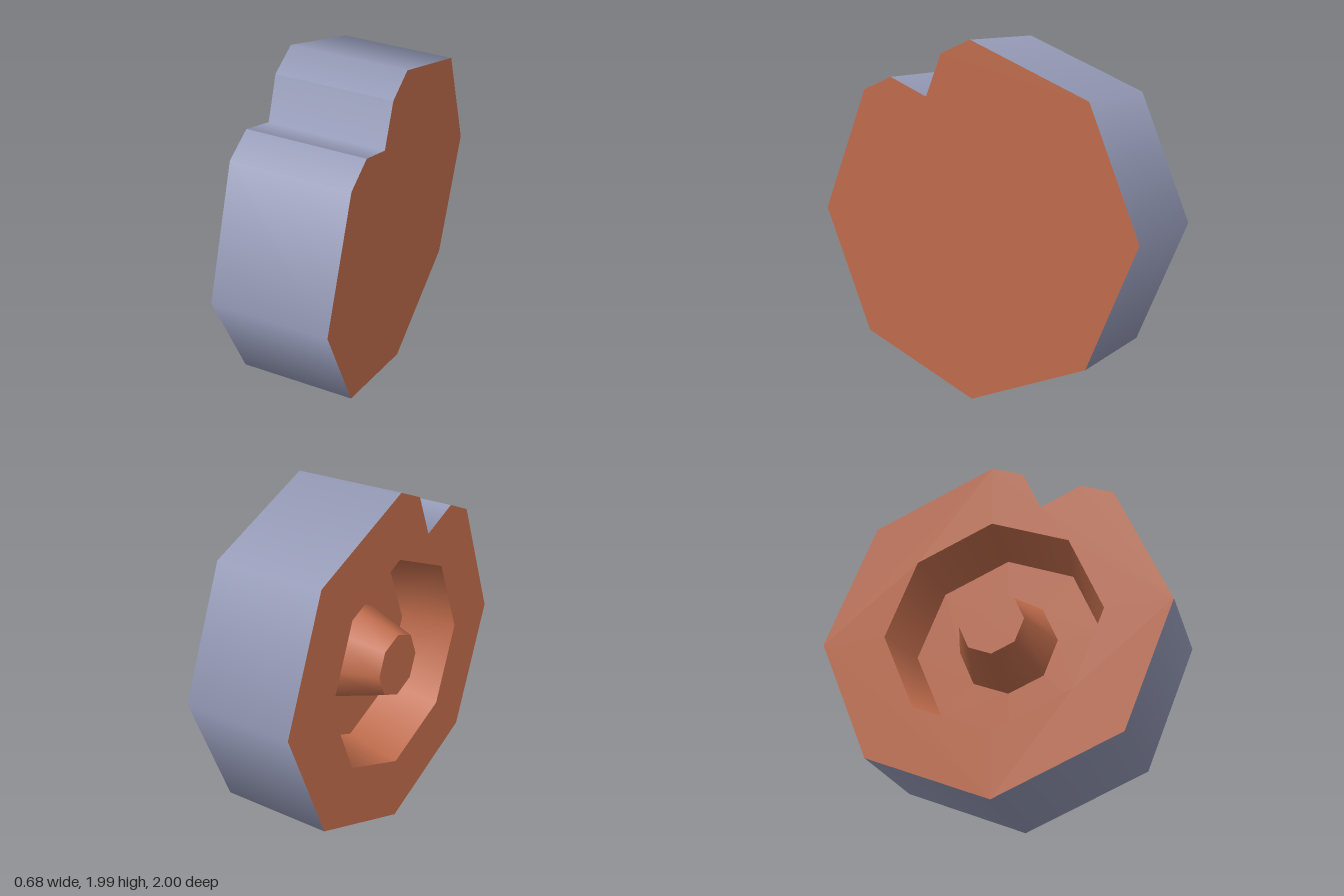
import * as THREE from 'three';

const R = 0.996;       // octagon radius
const H = 0.328;       // half width
const DEPTH = 0.32;    // recess depth

const tread = new THREE.MeshStandardMaterial({ color: 0x959ab7 });
tread.name = 'greyBlueTread';
const side = new THREE.MeshStandardMaterial({ color: 0xc06c4c });
side.name = 'copperSide';

const octagon = (r) => Array.from({ length: 8 }, (_, i) =>
  new THREE.Vector2(r * Math.sin(-i * Math.PI / 4), r * Math.cos(i * Math.PI / 4)));

// Smooth band running along a counterclockwise outline, facing outwards
function band(points) {
  const pos = [], nor = [], index = [];
  const last = points.length - 1;
  const edgeNormal = (i) => {
    const d = points[i + 1].clone().sub(points[i]).normalize();
    return new THREE.Vector2(d.y, -d.x);
  };
  points.forEach((p, i) => {
    const n = edgeNormal(Math.max(i - 1, 0)).add(edgeNormal(Math.min(i, last - 1))).normalize();
    pos.push(p.x, p.y, -H, p.x, p.y, H);
    nor.push(n.x, n.y, 0, n.x, n.y, 0);
    if (i < last) {
      const a = 2 * i;
      index.push(a, a + 2, a + 3, a, a + 3, a + 1);
    }
  });
  const g = new THREE.BufferGeometry();
  g.setAttribute('position', new THREE.Float32BufferAttribute(pos, 3));
  g.setAttribute('normal', new THREE.Float32BufferAttribute(nor, 3));
  g.setIndex(index);
  return g;
}

export function createModel() {
  const wheel = new THREE.Group();
  wheel.name = 'wheel';
  const add = (name, geometry, material) => {
    const mesh = new THREE.Mesh(geometry, material);
    mesh.name = name;
    wheel.add(mesh);
  };

  // Outline: an octagon with one V notch cut into its last edge
  const corners = octagon(R);
  const notch = [[0.52, 0.781], [0.285, 0.683], [0.185, 0.92]].map((p) => new THREE.Vector2(...p));
  const outline = [...corners, ...notch];

  // Tread and notch
  add('tread', band([notch[2], ...corners, notch[0]]), tread);
  add('notch', band(notch), tread);

  // Flat plain side
  const mirrored = outline.map((p) => new THREE.Vector2(-p.x, p.y));
  add('plainSide', new THREE.ShapeGeometry(new THREE.Shape(mirrored)).rotateY(Math.PI).translate(0, 0, -H), side);

  // Opposite side with the recess opening
  const face = new THREE.Shape(outline);
  face.holes.push(new THREE.Path(octagon(0.625)));
  add('rimSide', new THREE.ShapeGeometry(face).translate(0, 0, H), side);

  // Recess wall (facing inwards), floor and tapered hub
  const wall = [new THREE.Vector2(0.625, H), new THREE.Vector2(0.55, H - DEPTH)];
  add('recessWall', new THREE.LatheGeometry(wall, 8).rotateX(Math.PI / 2), side);
  add('recessFloor', new THREE.RingGeometry(0.28, 0.55, 8).translate(0, 0, H - DEPTH), side);
  add('hub', new THREE.CylinderGeometry(0.185, 0.29, DEPTH, 8)
    .rotateX(Math.PI / 2).translate(0, 0, H - DEPTH / 2), side);

  // Axle along x with the recess on the -x side, and a slight toe angle
  wheel.rotation.y = -Math.PI / 2 + 0.0135;
  wheel.position.y = R;
  const root = new THREE.Group();
  root.name = 'wheelAssembly';
  root.add(wheel);
  return root;
}
